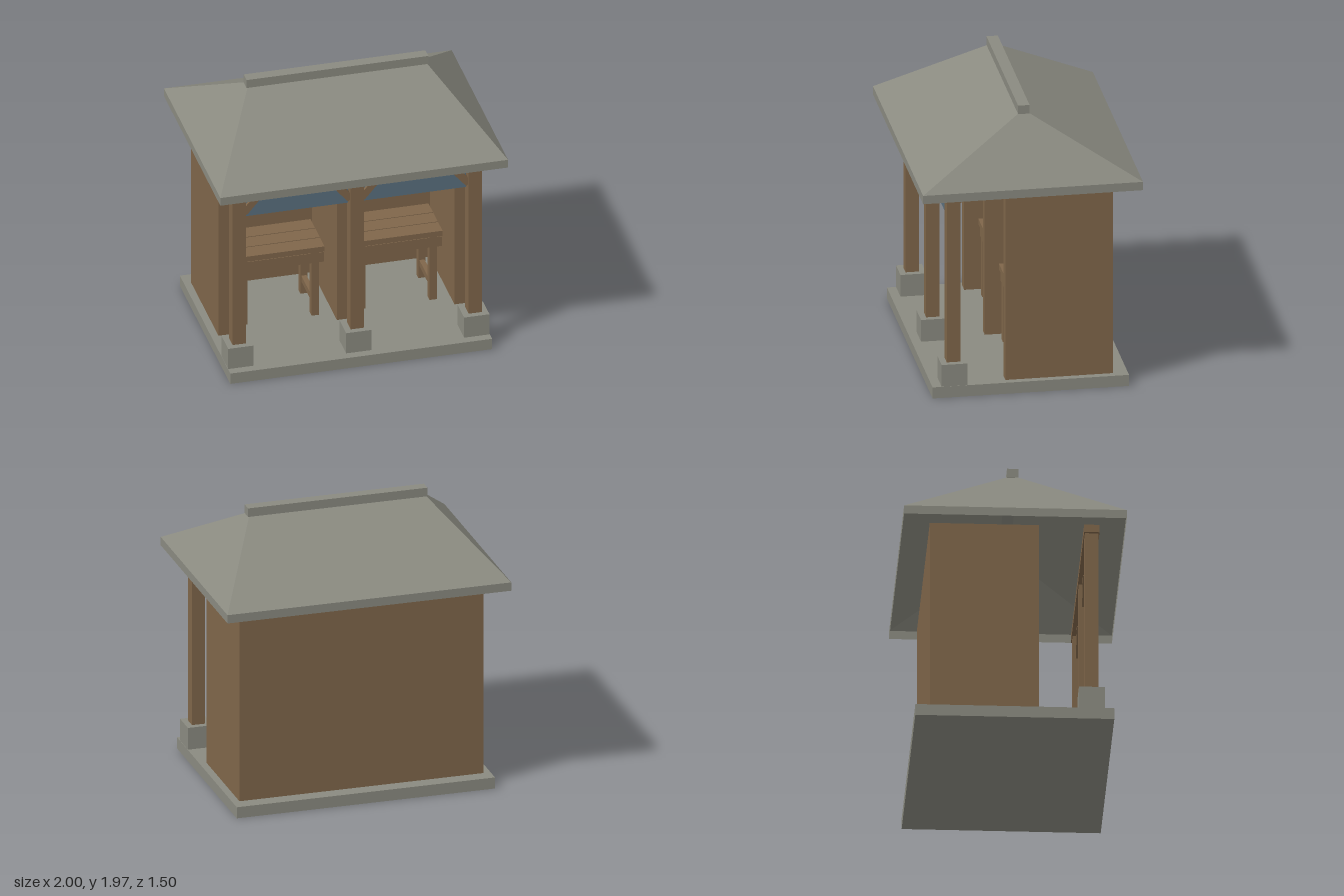
import * as THREE from 'three';

export function createModel() {
  const model = new THREE.Group();
  model.name = 'openShelter';

  const material = (name, color, side = THREE.FrontSide) => {
    const m = new THREE.MeshStandardMaterial({ color, side });
    m.name = name;
    return m;
  };
  const stone = material('grey stone', 0x8a8a80, THREE.DoubleSide);
  const wood = material('brown wood', 0x7f664a);
  const cloth = material('blue cloth', 0x5a6f7e);

  // Box given by its lower and upper limits on each axis
  const box = (name, mat, [x0, x1], [y0, y1], [z0, z1], parent = model) => {
    const mesh = new THREE.Mesh(new THREE.BoxGeometry(x1 - x0, y1 - y0, z1 - z0), mat);
    mesh.position.set((x0 + x1) / 2, (y0 + y1) / 2, (z0 + z1) / 2);
    mesh.name = name;
    parent.add(mesh);
    return mesh;
  };
  const around = (c, half) => [c - half, c + half];

  // Floor slab
  box('floorSlab', stone, [-0.91, 0.91], [0, 0.08], [-0.67, 0.67]);

  // Front posts on stone footings, with the beam they carry
  for (const x of [-0.82, 0, 0.82]) {
    box('footing', stone, around(x, 0.088), [0.08, 0.237], [0.432, 0.608]);
    box('post', wood, around(x, 0.046), [0.237, 1.4], [0.474, 0.566]);
  }
  box('frontBeam', wood, [-0.885, 0.885], [1.395, 1.45], [0.468, 0.572]);

  // Back wall, side walls and central partition
  box('backWall', wood, [-0.86, 0.86], [0.08, 1.45], [-0.57, -0.49]);
  for (const s of [-1, 1]) box('sideWall', wood, around(s * 0.82, 0.04), [0.08, 1.45], [-0.49, 0.165]);
  box('partition', wood, [-0.037, 0.037], [0.08, 1.45], [-0.49, 0.165]);

  for (const bay of [-0.41, 0.41]) {
    // Hanging cloth and corner braces in each bay
    box('curtain', cloth, around(bay, 0.355), [1.205, 1.39], [0.515, 0.525]);
    for (const s of [-1, 1]) {
      const brace = box('brace', wood, around(bay + s * 0.3, 0.11), [1.3, 1.35], [0.495, 0.545]);
      brace.rotation.z = -s * 0.87;
    }

    // Slatted table
    const table = new THREE.Group();
    table.name = 'table';
    table.position.set(bay, 0, -0.108);
    model.add(table);
    for (let i = -1; i <= 1; i++) {
      box('slat', wood, [-0.31, 0.31], [0.575, 0.615], around(i * 0.127, 0.06), table);
    }
    for (const sz of [-1, 1]) {
      box('apron', wood, [-0.31, 0.31], [0.49, 0.565], around(sz * 0.15, 0.025), table);
      for (const sx of [-1, 1]) {
        box('leg', wood, around(sx * 0.248, 0.025), [0.08, 0.575], around(sz * 0.15, 0.025), table);
      }
    }
    for (const sx of [-1, 1]) {
      box('stretcher', wood, around(sx * 0.248, 0.018), [0.175, 0.22], [-0.13, 0.13], table);
    }
  }

  // Hipped roof shell, open below: eave edge, then slopes up to the ridge line
  const rings = [[1, 0.75, 1.45], [1, 0.75, 1.51], [0.605, 0, 1.93]].map(([x, z, y]) =>
    [[x, y, z], [x, y, -z], [-x, y, -z], [-x, y, z]]);
  const positions = [];
  for (let r = 0; r < 2; r++) {
    for (let i = 0; i < 4; i++) {
      const j = (i + 1) % 4;
      const [a, b, c, d] = [rings[r][i], rings[r][j], rings[r + 1][j], rings[r + 1][i]];
      positions.push(...a, ...b, ...c);
      // The end slopes close to a point, so they need one triangle only
      if (r === 0 || i % 2 === 1) positions.push(...a, ...c, ...d);
    }
  }
  const roofGeometry = new THREE.BufferGeometry();
  roofGeometry.setAttribute('position', new THREE.Float32BufferAttribute(positions, 3));
  roofGeometry.computeVertexNormals();
  const roof = new THREE.Mesh(roofGeometry, stone);
  roof.name = 'roof';
  model.add(roof);

  // Ridge cap
  box('ridgeCap', stone, [-0.632, 0.632], [1.908, 1.97], [-0.039, 0.039]);

  return model;
}
